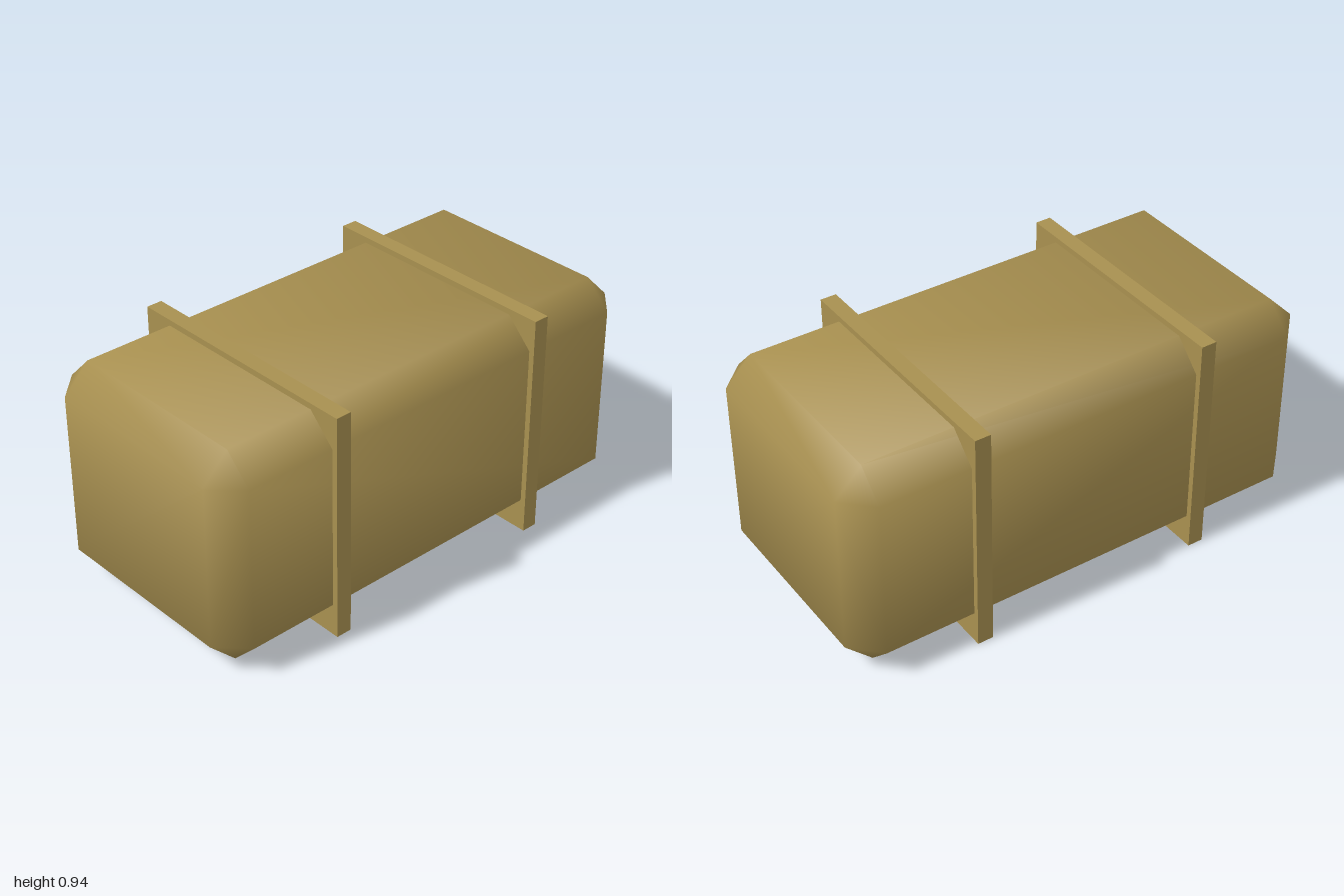
import * as THREE from 'three';
import { ConvexGeometry } from 'three/addons/geometries/ConvexGeometry.js';

const HALF = [1, 0.444, 0.5]; // half size of the body
const BEVEL = 0.11;
const MID_Y = 0.468;

// Box with every edge and corner bevelled, shaded smoothly across the bevels
function bevelledBox(half, bevel) {
  const points = [];
  for (const sx of [-1, 1]) for (const sy of [-1, 1]) for (const sz of [-1, 1]) {
    const signs = [sx, sy, sz];
    // each corner becomes three points, one on each adjoining face
    for (let axis = 0; axis < 3; axis++) {
      const p = signs.map((s, i) => s * (half[i] - (i === axis ? 0 : bevel)));
      points.push(new THREE.Vector3(...p));
    }
  }
  const geometry = new ConvexGeometry(points);
  const pos = geometry.attributes.position;
  const normal = geometry.attributes.normal;
  const n = new THREE.Vector3();
  for (let i = 0; i < pos.count; i++) {
    // normals lean outwards from the main face towards its two bevels
    const p = [pos.getX(i), pos.getY(i), pos.getZ(i)];
    n.set(...p.map((v, k) => Math.sign(v) * (Math.abs(v) > half[k] - bevel / 2 ? 1 : 0.39))).normalize();
    normal.setXYZ(i, n.x, n.y, n.z);
  }
  return geometry;
}

export function createModel() {
  const group = new THREE.Group();
  group.name = 'strappedContainer';
  const brass = new THREE.MeshStandardMaterial({ color: 0xa89050 });
  brass.name = 'dull brass';

  // Main body
  const body = new THREE.Mesh(bevelledBox(HALF, BEVEL), brass);
  body.name = 'body';
  body.position.y = MID_Y;
  group.add(body);

  // Two square bands around the body
  const bandGeometry = new THREE.BoxGeometry(0.065, 0.936, 1.046);
  for (const side of [-1, 1]) {
    const band = new THREE.Mesh(bandGeometry, brass);
    band.name = side > 0 ? 'leftBand' : 'rightBand';
    band.position.set(side * 0.489, MID_Y, 0);
    group.add(band);
  }
  return group;
}
